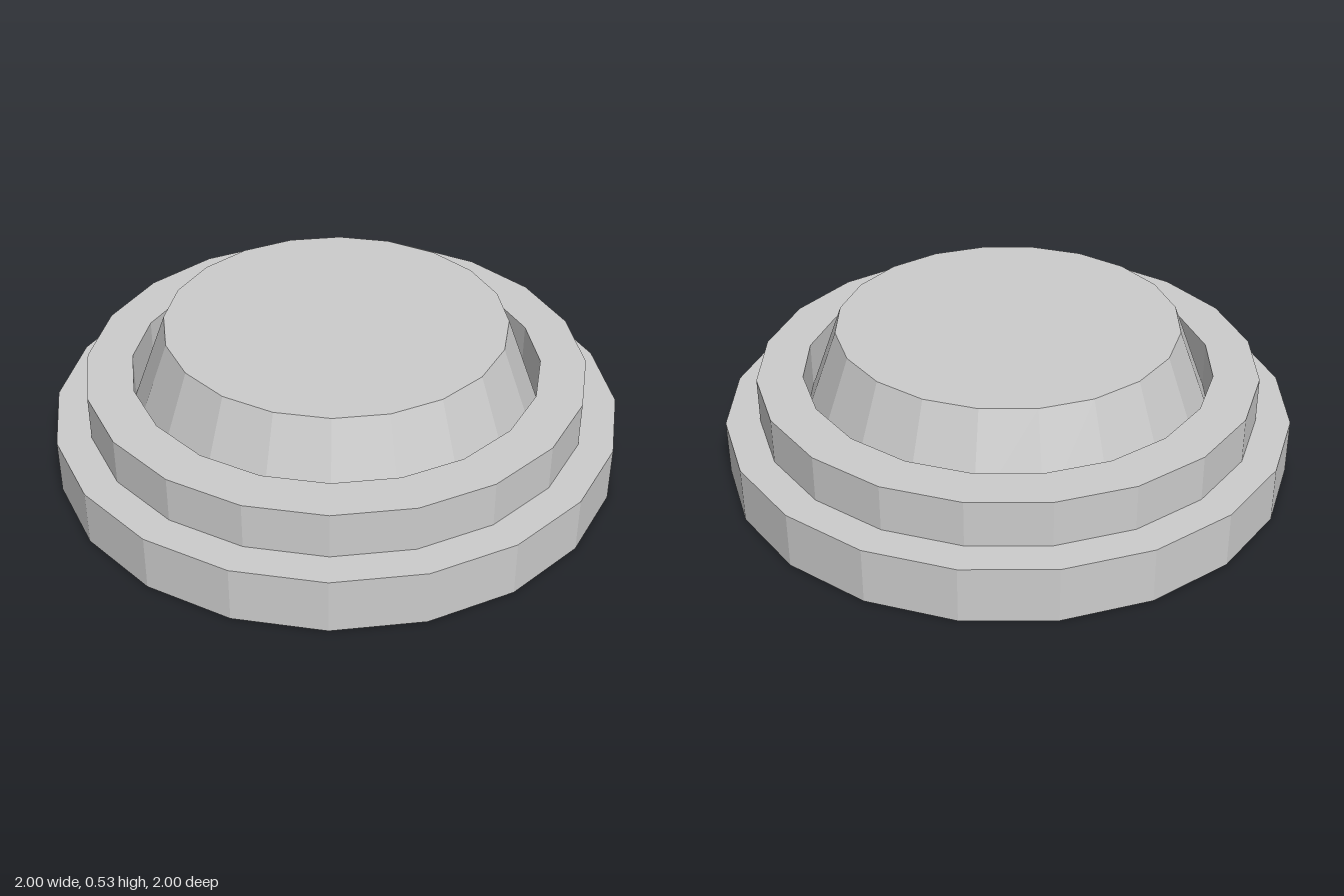
import * as THREE from 'three';

const SIDES = 20;
const HALF_STEP = Math.PI / SIDES;
// Radii are measured to the flat sides; corners lie slightly further out
const corner = (flat) => flat / Math.cos(HALF_STEP);

export function createModel() {
  const model = new THREE.Group();
  model.name = 'steppedRoundBase';
  const grey = new THREE.MeshStandardMaterial({ color: 0xcccccc });
  grey.name = 'light grey';
  grey.flatShading = true;

  function add(name, geometry, y = 0) {
    const mesh = new THREE.Mesh(geometry, grey);
    mesh.name = name;
    mesh.position.y = y;
    model.add(mesh);
  }

  const drum = (top, bottom, height) => new THREE.CylinderGeometry(
    corner(top), corner(bottom), height, SIDES, 1, false, HALF_STEP);

  // Wide bottom step
  add('bottomDisc', drum(1, 1, 0.2), 0.1);

  // Middle step: a raised rim around the tapered centre, open towards the disc below
  const rim = [[0.88, 0.2], [0.88, 0.365], [0.72, 0.365], [0.72, 0.2]]
    .map(([r, y]) => new THREE.Vector2(corner(r), y));
  add('raisedRim', new THREE.LatheGeometry(rim, SIDES, HALF_STEP));

  // Tapered centre rising out of the rim
  add('taperedCentre', drum(0.6, 0.72, 0.33), 0.365);

  return model;
}
